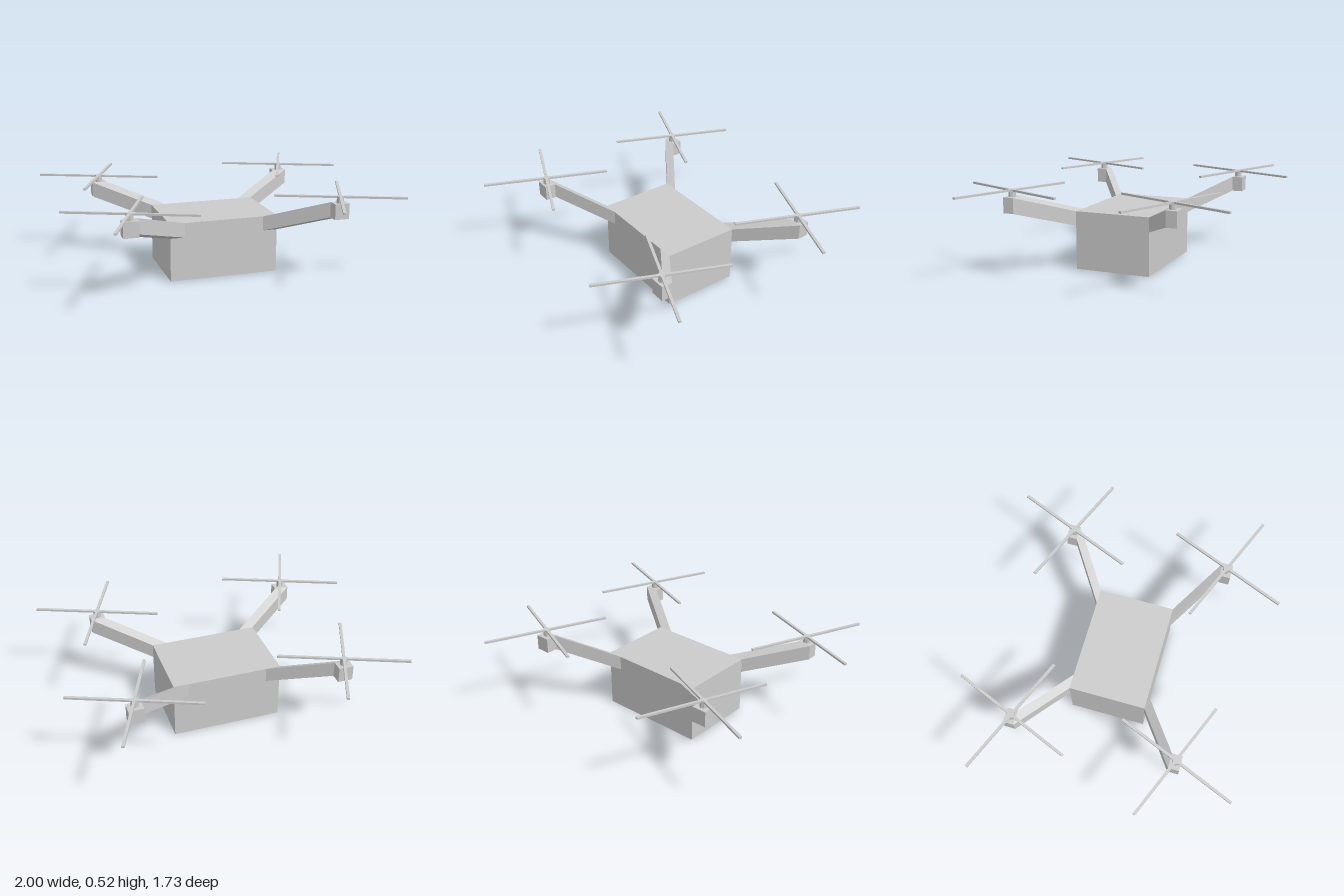
import * as THREE from 'three';

const material = new THREE.MeshStandardMaterial({ color: 0xcccccc, flatShading: true });

function addMesh(parent, name, geometry, x, y, z) {
  const mesh = new THREE.Mesh(geometry, material);
  mesh.name = name;
  mesh.position.set(x, y, z);
  parent.add(mesh);
  return mesh;
}

// Box whose vertices are placed by a rule: u, v, w are 0 or 1 along x, y, z
function shapedBox(rule) {
  const geometry = new THREE.BoxGeometry(1, 1, 1);
  const p = geometry.attributes.position;
  for (let i = 0; i < p.count; i++) {
    p.setXYZ(i, ...rule(p.getX(i) + 0.5, p.getY(i) + 0.5, p.getZ(i) + 0.5));
  }
  geometry.computeVertexNormals();
  return geometry;
}

// Four-bladed rotor: octagonal shaft with a blade on every second side
function makeRotor() {
  const rotor = new THREE.Group();
  rotor.name = 'rotor';
  const radius = 0.022, tip = 0.392, start = radius * Math.cos(Math.PI / 8);
  addMesh(rotor, 'shaft', new THREE.CylinderGeometry(radius, radius, 0.044, 8), 0, 0.502, 0);
  for (let i = 0; i < 4; i++) {
    const angle = Math.PI / 8 + i * Math.PI / 2;
    const mid = (start + tip) / 2;
    const blade = addMesh(rotor, 'blade', new THREE.BoxGeometry(tip - start, 0.012, 0.017),
      mid * Math.cos(angle), 0.518, mid * Math.sin(angle));
    blade.rotation.y = -angle;
  }
  return rotor;
}

export function createModel() {
  const model = new THREE.Group();
  model.name = 'quadcopter';
  const offset = -0.004; // the frame sits slightly behind the rotor centre
  const bodyZ = 0.238, motorZ = 0.469;

  addMesh(model, 'body', new THREE.BoxGeometry(0.68, 0.36, bodyZ * 2), 0, 0.18, offset);

  for (const sx of [-1, 1]) {
    for (const sz of [-1, 1]) {
      // Arm sheared outwards and upwards from the body to the motor block
      const arm = shapedBox((u, v, w) => {
        const t = sz > 0 ? w : 1 - w; // 0 at the body, 1 at the motor
        return [
          sx * (0.295 + 0.34 * t) + (u - 0.5) * 0.091,
          0.27 + 0.117 * t + v * (0.09 + 0.004 * t),
          sz * (bodyZ + (motorZ - bodyZ) * t),
        ];
      });
      addMesh(model, 'arm', arm, 0, 0, offset);

      addMesh(model, 'motorBlock', new THREE.BoxGeometry(0.091, 0.094, 0.066),
        sx * 0.635, 0.434, sz * (motorZ + 0.033) + offset);

      const rotor = makeRotor();
      rotor.position.set(sx * 0.634, 0, sz * 0.498);
      model.add(rotor);
    }
  }
  return model;
}
